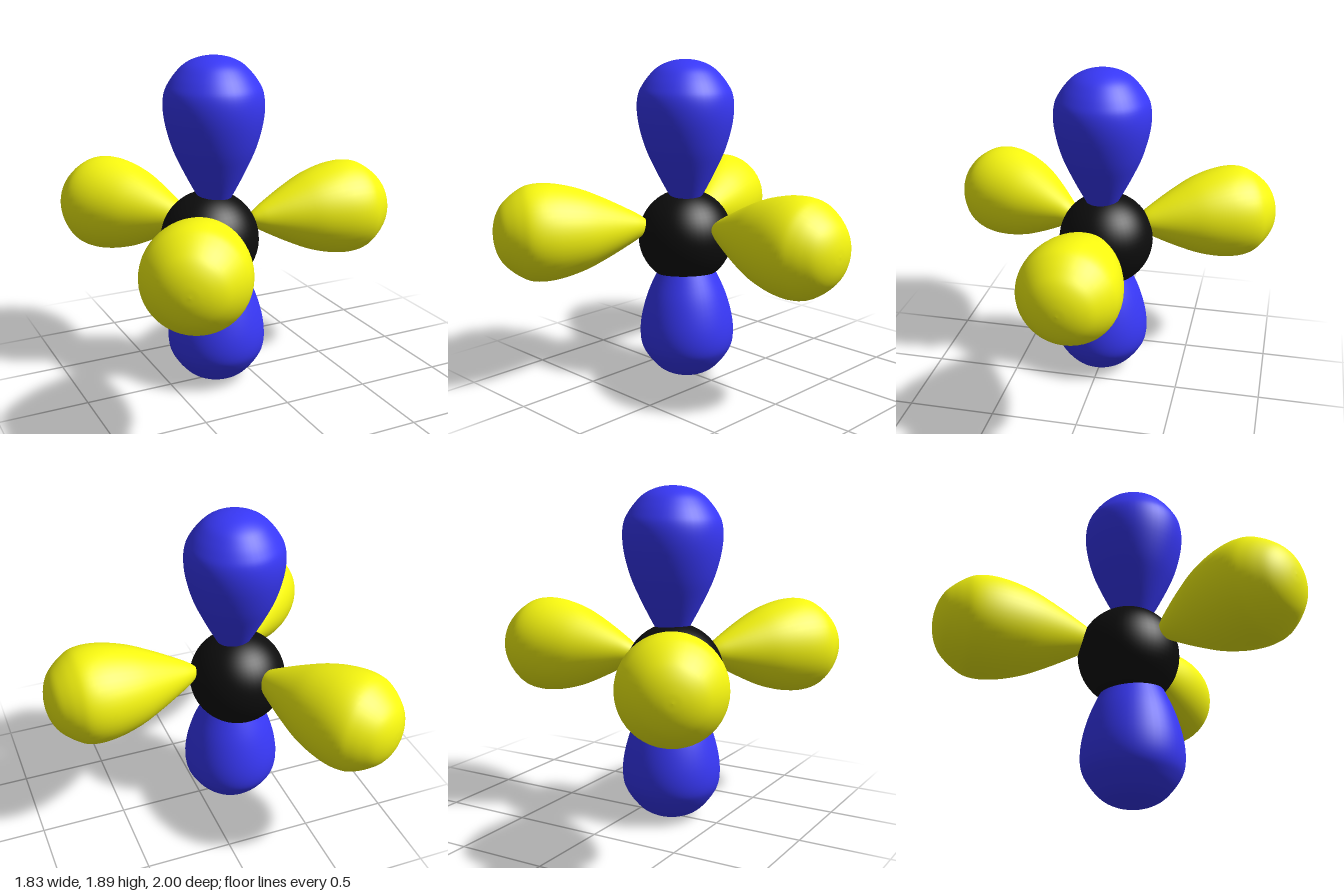
import * as THREE from 'three';

// Lobe outline as [radius, distance from the tip], widest at 0.64
const OUTLINE = [
  [0, 0], [0.03, 0.015], [0.065, 0.06], [0.10, 0.12], [0.178, 0.27], [0.235, 0.4], [0.272, 0.54],
  [0.28, 0.64], [0.269, 0.71], [0.243, 0.76], [0.21, 0.805], [0.165, 0.85], [0.11, 0.88], [0.05, 0.896], [0, 0.9],
];

function lobeGeometry() {
  const curve = new THREE.CatmullRomCurve3(OUTLINE.map(([r, d]) => new THREE.Vector3(r, d, 0)));
  const points = curve.getPoints(56).map((p) => new THREE.Vector2(Math.max(p.x, 0), p.y));
  return new THREE.LatheGeometry(points, 48);
}

export function createModel() {
  const model = new THREE.Group();
  model.name = 'fiveLobedOrbitalModel';
  const yellow = new THREE.MeshStandardMaterial({ color: 0xf8f810 });
  const blue = new THREE.MeshStandardMaterial({ color: 0x3838f8 });
  const black = new THREE.MeshStandardMaterial({ color: 0x0d0d0d });

  // Central ball
  const ball = new THREE.Mesh(new THREE.SphereGeometry(0.28, 48, 32), black);
  ball.name = 'centralBall';
  ball.position.set(-0.23, 0.85, -0.02);
  model.add(ball);

  // Lobes: name, material, centre of the widest ring, outward direction
  const s = Math.sqrt(3) / 2;
  const lobes = [
    ['upperLobe', blue, [-0.205, 1.63, 0], [0, 1, 0]],
    ['lowerLobe', blue, [-0.205, 0.26, 0], [0, -1, 0]],
    ['leftLobe', yellow, [0.65, 0.933, -0.005], [1, 0, 0]],
    ['frontRightLobe', yellow, [-0.645, 0.933, 0.735], [-0.5, 0, s]],
    ['backRightLobe', yellow, [-0.612, 0.933, -0.735], [-0.5, 0, -s]],
  ];
  const geometry = lobeGeometry();
  const up = new THREE.Vector3(0, 1, 0);
  for (const [name, material, centre, direction] of lobes) {
    const dir = new THREE.Vector3(...direction);
    const lobe = new THREE.Mesh(geometry, material);
    lobe.name = name;
    lobe.quaternion.setFromUnitVectors(up, dir);
    lobe.position.set(...centre).addScaledVector(dir, -0.64);
    model.add(lobe);
  }
  return model;
}
